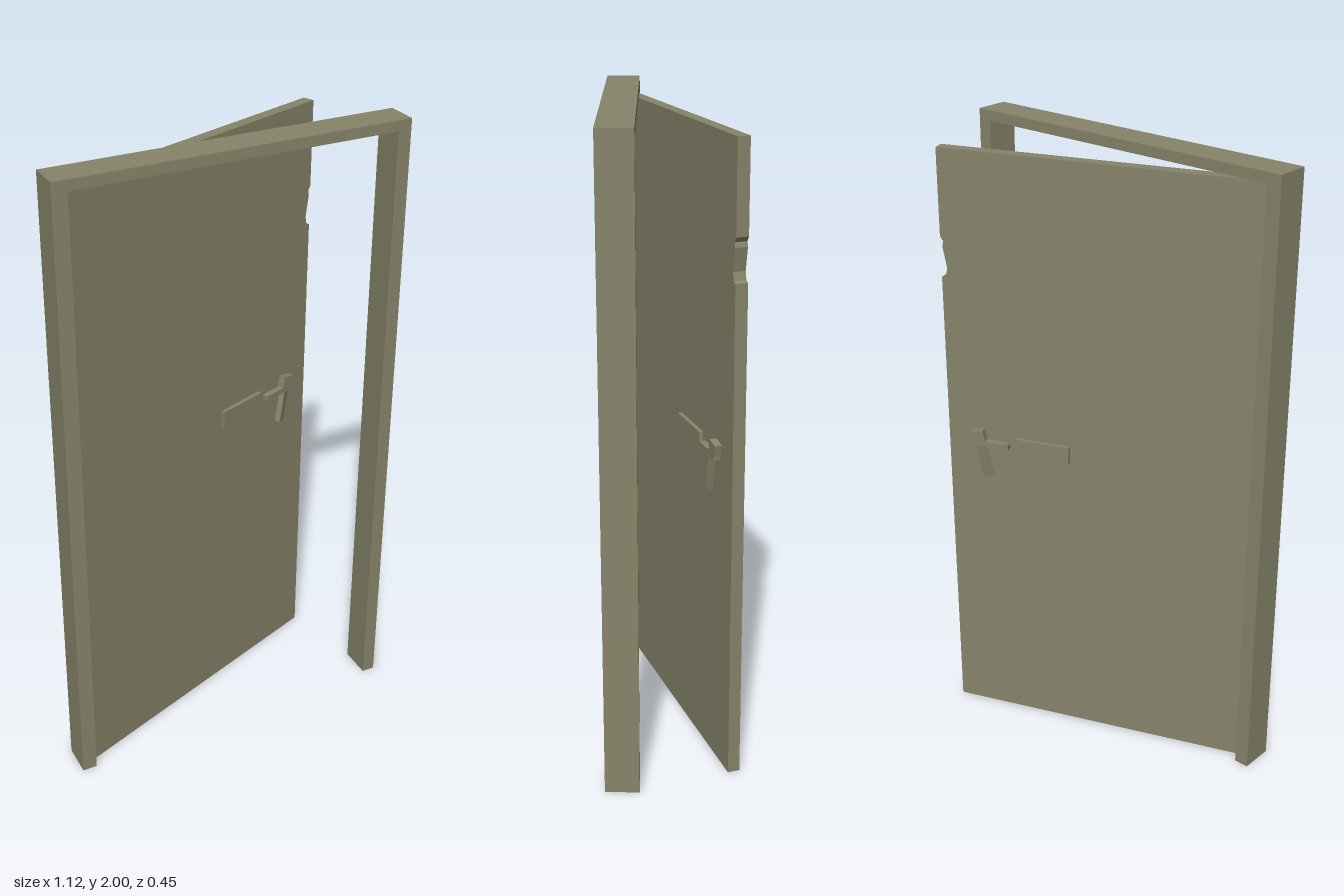
import * as THREE from 'three';

const material = new THREE.MeshStandardMaterial({ color: 0x87856a, flatShading: true });

const outline = (points) => new THREE.Shape(points.map(([x, y]) => new THREE.Vector2(x, y)));
const extrude = (points, depth) =>
  new THREE.ExtrudeGeometry(outline(points), { depth, bevelEnabled: false });

function addMesh(parent, name, geometry, x = 0, y = 0, z = 0) {
  const mesh = new THREE.Mesh(geometry, material);
  mesh.name = name;
  mesh.position.set(x, y, z);
  parent.add(mesh);
  return mesh;
}

// Two jambs and a head, skewed slightly along the wall
function frameGeometry() {
  const geometry = extrude([
    [-0.56, 0], [-0.513, 0], [-0.513, 1.967], [0.514, 1.967],
    [0.514, 0], [0.557, 0], [0.557, 2], [-0.56, 2],
  ], 0.106);
  const p = geometry.attributes.position;
  for (let i = 0; i < p.count; i++) {
    p.setZ(i, p.getZ(i) + 0.097 - 0.0322 * p.getX(i));
  }
  geometry.computeVertexNormals();
  return geometry;
}

// Door leaf with a splintered notch in its free edge
const LEAF = { width: 1.025, height: 1.963, depth: 0.038 };
function leafGeometry() {
  const w = LEAF.width;
  return extrude([
    [0, 0.003], [w, 0.003], [w, 1.56], [w - 0.013, 1.565], [w - 0.019, 1.59],
    [w - 0.006, 1.66], [w - 0.01, 1.675], [w, 1.69], [w, LEAF.height], [0, LEAF.height],
  ], LEAF.depth);
}

// Handle set for one face; side is +1 for the front and -1 for the back
function addHardware(door, side) {
  const set = new THREE.Group();
  set.name = side > 0 ? 'frontHardware' : 'backHardware';
  set.position.z = side > 0 ? 0 : -LEAF.depth;
  door.add(set);

  addMesh(set, 'plate', new THREE.BoxGeometry(0.182, 0.054, 0.016), 0.702, 1.022, side * 0.005);
  addMesh(set, 'crossBar', new THREE.BoxGeometry(0.12, 0.018, 0.02), 0.874, 1.02, side * 0.012);

  // Slanted handle: broad head and turned grip
  const handle = new THREE.Group();
  handle.name = 'handle';
  handle.position.set(0.905, 0.983, 0);
  handle.rotation.z = -0.2;
  set.add(handle);
  addMesh(handle, 'handleHead', new THREE.BoxGeometry(0.042, 0.05, 0.024), 0, 0.055, side * 0.01);
  const grip = addMesh(handle, 'handleGrip', new THREE.BoxGeometry(0.034, 0.112, 0.018), 0, -0.024, side * 0.01);
  grip.rotation.y = side * 0.3;
}

export function createModel() {
  const model = new THREE.Group();
  model.name = 'door';
  addMesh(model, 'frame', frameGeometry());

  // Leaf swung open towards the back around the hinge side
  const door = new THREE.Group();
  door.name = 'openDoor';
  door.position.set(-0.506, 0, 0.188);
  door.rotation.y = THREE.MathUtils.degToRad(21.6);
  model.add(door);
  addMesh(door, 'leaf', leafGeometry(), 0, 0, -LEAF.depth);
  for (const side of [1, -1]) addHardware(door, side);

  return model;
}
